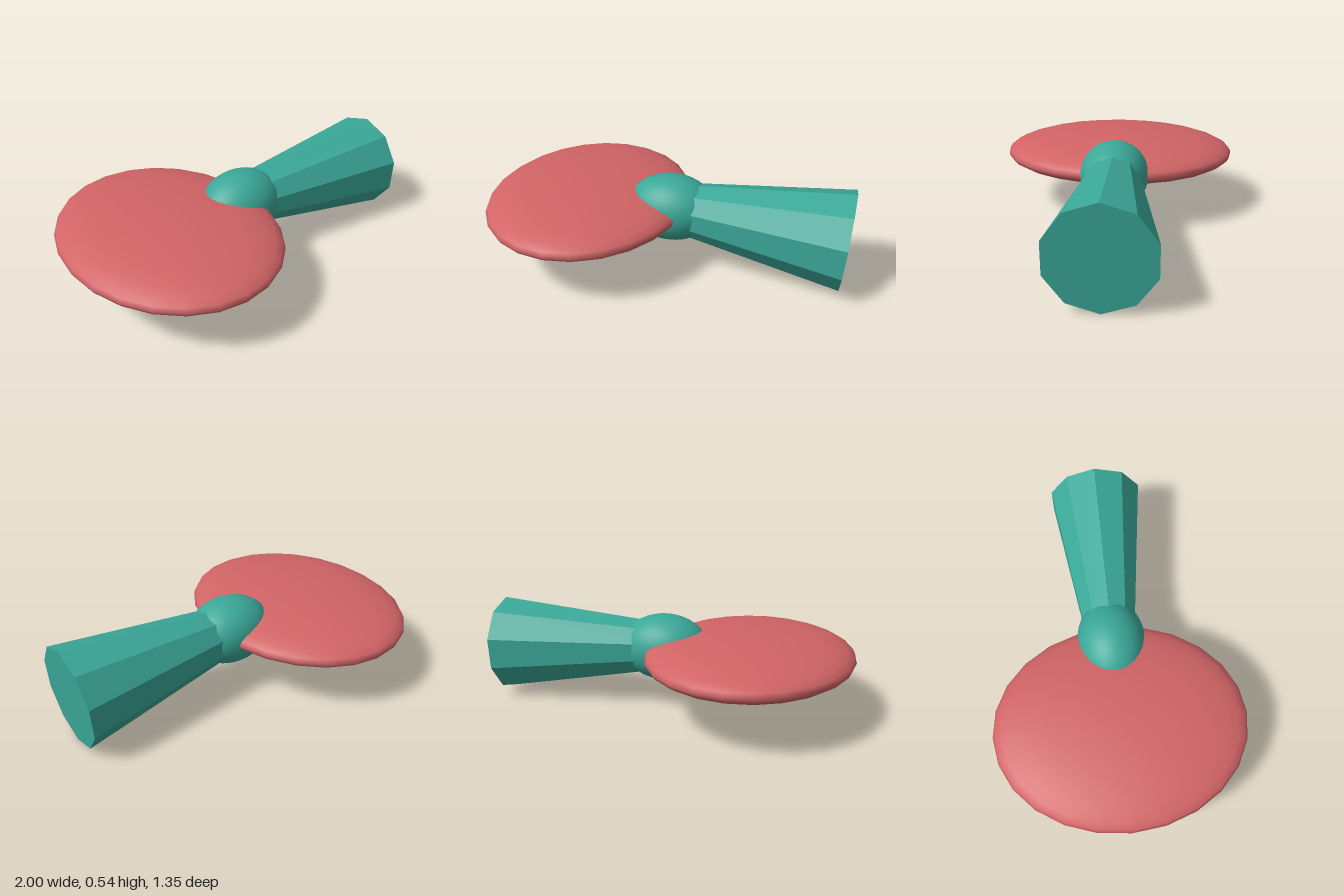
import * as THREE from 'three';

export function createModel() {
  const model = new THREE.Group();
  const red = new THREE.MeshStandardMaterial({ color: 0xd16466 });
  red.name = 'coral red';
  const teal = new THREE.MeshStandardMaterial({ color: 0x3aa898 });
  teal.name = 'teal';

  const add = (name, geometry, material, x, y) => {
    const mesh = new THREE.Mesh(geometry, material);
    mesh.name = name;
    mesh.position.set(x, y, 0);
    model.add(mesh);
    return mesh;
  };

  // Flattened oval disc
  add('disc', new THREE.SphereGeometry(1, 24, 16).scale(0.555, 0.117, 0.673), red, -0.445, 0.329);

  // Ball joining the disc to the handle
  add('joint', new THREE.SphereGeometry(1, 32, 20).scale(0.244, 0.183, 0.187), teal, 0.03, 0.328);

  // Ten-sided handle, flaring outward and sloping slightly down
  const start = new THREE.Vector2(0.03, 0.33);
  const end = new THREE.Vector2(0.985, 0.272);
  const axis = end.clone().sub(start);
  const cone = new THREE.CylinderGeometry(0.27, 0.133, axis.length(), 10, 1, false, Math.PI / 2)
    .toNonIndexed();
  cone.computeVertexNormals();
  const handle = add('handle', cone, teal, (start.x + end.x) / 2, (start.y + end.y) / 2);
  handle.rotation.z = axis.angle() - Math.PI / 2;

  return model;
}
